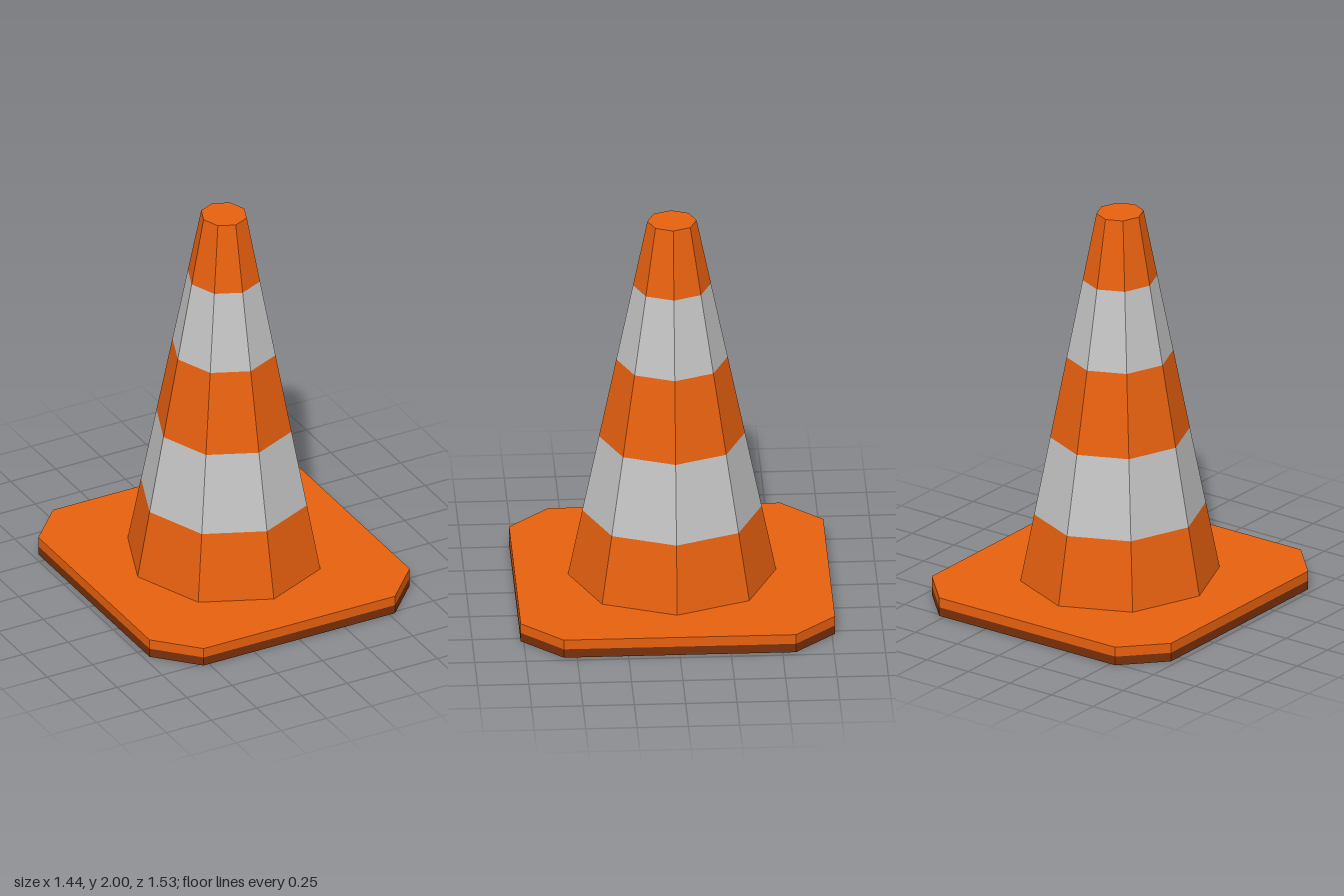
import * as THREE from 'three';

const flat = (name, color) => {
  const m = new THREE.MeshStandardMaterial({ color, flatShading: true });
  m.name = name;
  return m;
};

export function createModel() {
  const orange = flat('orange', 0xf26510);
  const grey = flat('reflective grey', 0xc3c3c3);
  const brown = flat('dark brown', 0x78300a);

  const group = new THREE.Group();
  group.name = 'trafficCone';
  const add = (name, geometry, material) => {
    const mesh = new THREE.Mesh(geometry, material);
    mesh.name = name;
    group.add(mesh);
  };

  // Base plate: rectangle with cut corners, in two layers
  const outline = new THREE.Shape(
    [[0.72, -0.565], [0.72, 0.565], [0.53, 0.765], [-0.53, 0.765],
      [-0.72, 0.565], [-0.72, -0.565], [-0.53, -0.765], [0.53, -0.765]]
      .map(([x, y]) => new THREE.Vector2(x, y)));
  const slab = (y0, y1) =>
    new THREE.ExtrudeGeometry(outline, { depth: y1 - y0, bevelEnabled: false })
      .rotateX(-Math.PI / 2).translate(0, y0, 0);
  add('baseUnderside', slab(0, 0.045), brown);
  add('basePlate', slab(0.045, 0.095), orange);

  // Eight-sided tapering body, split into coloured bands
  const levels = [0.095, 0.44, 0.84, 1.255, 1.655, 2];
  const radiusAt = (y) => THREE.MathUtils.mapLinear(y, 0.095, 2, 0.478, 0.113);
  for (let i = 0; i < levels.length - 1; i++) {
    const [y0, y1] = [levels[i], levels[i + 1]];
    const isTop = i === levels.length - 2;
    const band = new THREE.CylinderGeometry(radiusAt(y1), radiusAt(y0), y1 - y0, 8, 1, !isTop)
      .scale(1, 1, 1.06)
      .translate(0, (y0 + y1) / 2, 0);
    add(i % 2 ? 'reflectiveBand' : 'coneBand', band, i % 2 ? grey : orange);
  }
  return group;
}
